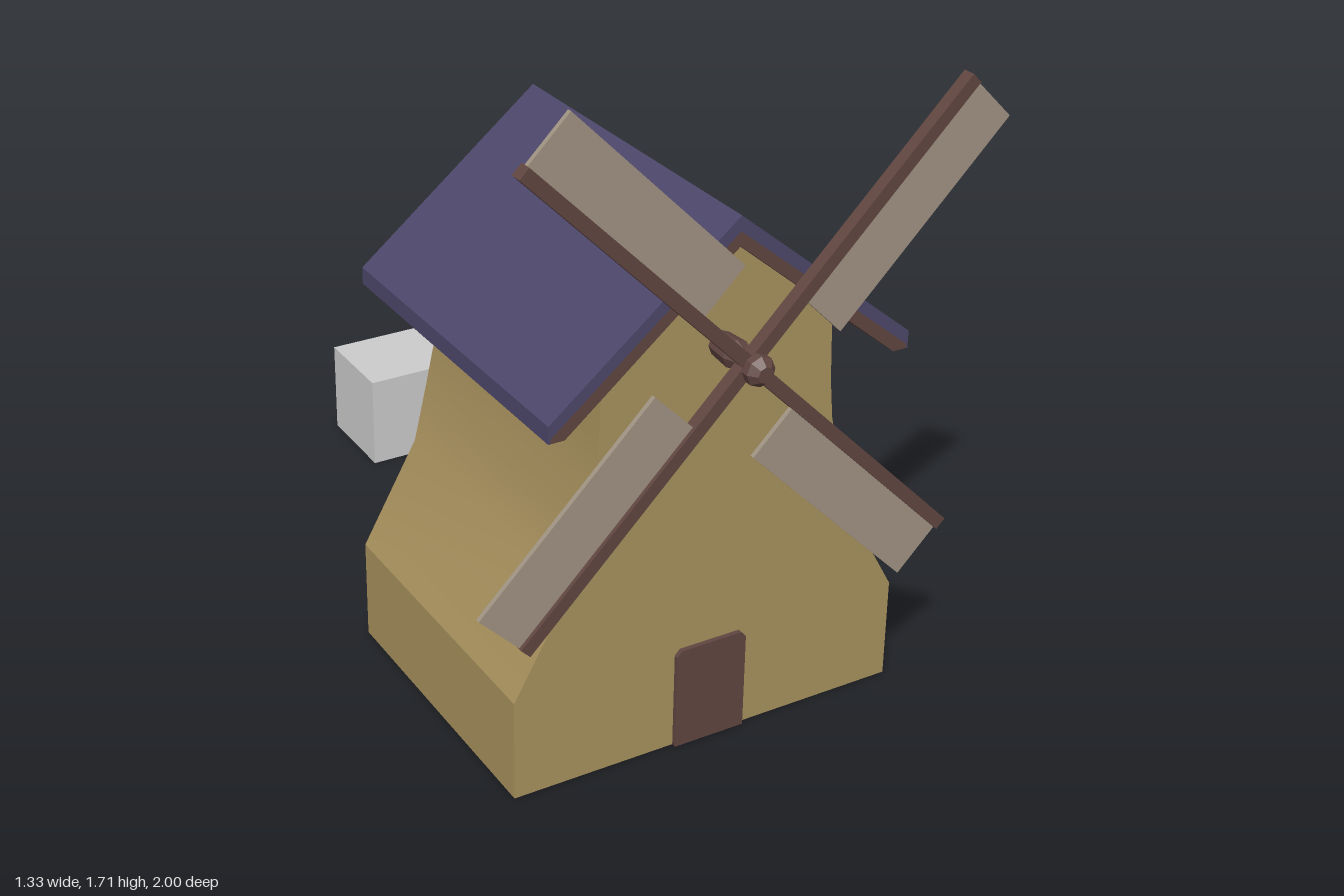
import * as THREE from 'three';

const mat = (name, color, side = THREE.FrontSide) => {
  const m = new THREE.MeshStandardMaterial({ color, side });
  m.name = name;
  return m;
};

export function createModel() {
  const plaster = mat('ochre plaster', 0xa8915d, THREE.DoubleSide);
  const slate = mat('blue slate', 0x4d476a);
  const timber = mat('brown timber', 0x614641);
  const canvas = mat('pale canvas', 0xa09382);
  const stone = mat('light grey', 0xcccccc);

  const model = new THREE.Group();
  model.name = 'windmill';
  const add = (parent, name, geometry, material, x = 0, y = 0, z = 0) => {
    const m = new THREE.Mesh(geometry, material);
    m.name = name;
    m.position.set(x, y, z);
    parent.add(m);
    return m;
  };
  const shapeOf = (pts) => new THREE.Shape(pts.map(([x, y]) => new THREE.Vector2(x, y)));
  const extrude = (shape, depth) => new THREE.ExtrudeGeometry(shape, { depth, bevelEnabled: false });
  // Half outline, closed by its mirror image
  const mirrored = (half) => [...half, ...half.slice().reverse().map(([x, y]) => [-x, y])];

  // Flared body: open underneath, walls curve in from the foot
  const zBack = 0.04, zFront = 0.82, zMid = 0.43;
  const foot = [[0.52, 0], [0.52, 0.26]];
  const curve = [[0.52, 0.26], [0.375, 0.52], [0.34, 0.67], [0.318, 0.77], [0.308, 0.87], [0.3, 1.06]];
  const body = new THREE.Group();
  body.name = 'body';
  model.add(body);
  const gable = new THREE.ShapeGeometry(shapeOf([...mirrored([...foot, ...curve.slice(1), [0.001, 1.305]])]));
  add(body, 'frontWall', gable, plaster, 0, 0, zFront);
  add(body, 'backWall', gable, plaster, 0, 0, zBack).rotation.y = Math.PI;

  const strip = (profile, side) => {
    const pos = [], index = [];
    profile.forEach(([x, y], i) => {
      pos.push(side * x, y, side > 0 ? zFront : zBack, side * x, y, side > 0 ? zBack : zFront);
      const a = i * 2;
      if (i < profile.length - 1) index.push(a, a + 1, a + 3, a, a + 3, a + 2);
    });
    const g = new THREE.BufferGeometry();
    g.setAttribute('position', new THREE.Float32BufferAttribute(pos, 3));
    g.setIndex(index);
    g.computeVertexNormals();
    return g;
  };
  for (const side of [1, -1]) {
    const label = side > 0 ? 'left' : 'right';
    add(body, label + 'Foot', strip(foot, side), plaster);
    add(body, label + 'Wall', strip(curve, side), plaster);
  }

  // Roof: slate covering over a timber lining
  const roof = new THREE.Group();
  roof.name = 'roof';
  model.add(roof);
  const chevron = (outer, inner) => shapeOf([
    ...outer, ...inner.slice().reverse(),
    ...inner.slice(1).map(([x, y]) => [-x, y]), ...outer.slice(1).reverse().map(([x, y]) => [-x, y]),
  ]);
  const slateShape = chevron([[0, 1.37], [0.47, 0.985], [0.47, 0.942]], [[0, 1.333], [0.465, 0.953], [0.465, 0.942]]);
  const liningShape = chevron([[0, 1.333], [0.465, 0.953], [0.465, 0.942]], [[0, 1.298], [0.43, 0.942]]);
  add(roof, 'roofCovering', extrude(slateShape, 0.915), slate, 0, 0, -0.03);
  add(roof, 'roofLining', extrude(liningShape, 0.915), timber, 0, 0, -0.03);

  // Doors on both gables
  const frameShape = shapeOf(mirrored([[0.062, 0], [0.095, 0], [0.095, 0.25], [0.082, 0.265]]));
  frameShape.setFromPoints(shapeOf([
    [0.062, 0], [0.095, 0], [0.095, 0.25], [0.082, 0.265], [-0.082, 0.265], [-0.095, 0.25],
    [-0.095, 0], [-0.062, 0], [-0.062, 0.235], [0.062, 0.235],
  ]).getPoints());
  for (const [name, z, turn] of [['frontDoor', zFront, 0], ['backDoor', zBack, Math.PI]]) {
    const door = new THREE.Group();
    door.name = name;
    door.position.z = z;
    door.rotation.y = turn;
    add(door, 'doorFrame', extrude(frameShape, 0.02), timber, 0, 0, -0.008);
    add(door, 'doorPanel', new THREE.BoxGeometry(0.124, 0.235, 0.008), timber, 0, 0.1175, 0);
    model.add(door);
  }

  // Sails: four spars, each with a canvas board along one side
  const sails = new THREE.Group();
  sails.name = 'sails';
  sails.position.set(0, 1.04, 0.93);
  model.add(sails);
  for (let i = 0; i < 4; i++) {
    const arm = new THREE.Group();
    arm.name = 'sailArm';
    arm.rotation.z = Math.PI / 4 + i * Math.PI / 2;
    add(arm, 'spar', new THREE.BoxGeometry(0.032, 0.79, 0.032), timber, 0, 0.395, 0);
    add(arm, 'sailBoard', new THREE.BoxGeometry(0.14, 0.605, 0.012), canvas, 0.084, 0.486, 0);
    sails.add(arm);
  }

  // Hub and its axle, reaching back into the gable
  const hubProfile = [[0, -0.13], [0.03, -0.13], [0.036, -0.045], [0.024, -0.015], [0.024, 0.015],
    [0.037, 0.03], [0.037, 0.05], [0.02, 0.07], [0, 0.07]].map(([r, y]) => new THREE.Vector2(r, y));
  const hub = new THREE.LatheGeometry(hubProfile, 8).toNonIndexed();
  hub.computeVertexNormals();
  add(sails, 'hub', hub, timber).rotation.x = Math.PI / 2;

  // Plain block standing behind the mill
  add(model, 'block', new THREE.BoxGeometry(0.26, 0.26, 0.26), stone, 0, 0.13, -0.87);

  return model;
}
